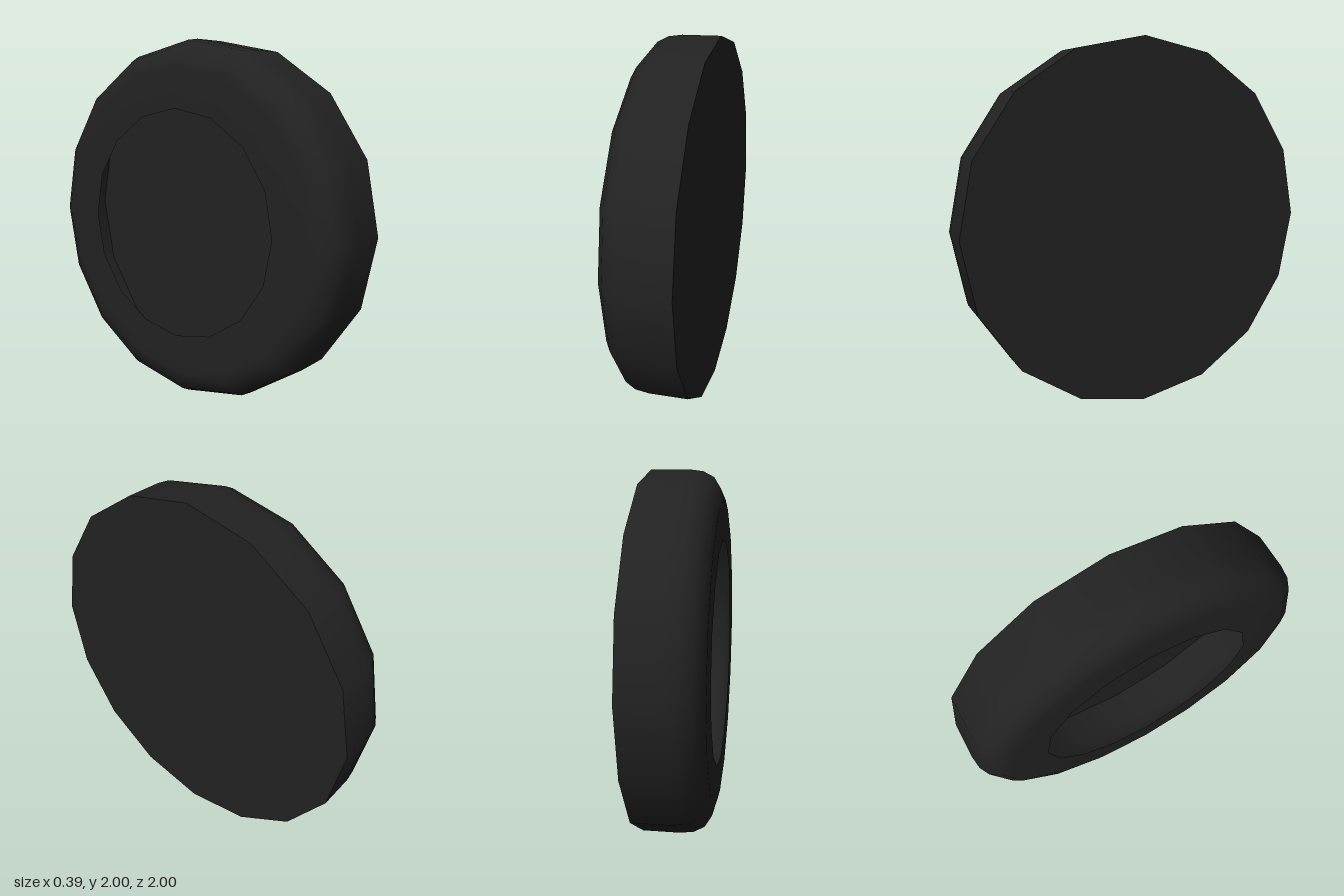
import * as THREE from 'three';

const SIDES = 16;
const HALF_WIDTH = 0.195;

export function createModel() {
  const group = new THREE.Group();
  group.name = 'wheel';

  const rubber = new THREE.MeshStandardMaterial({ color: 0x222222, side: THREE.DoubleSide });
  rubber.name = 'black rubber';

  // Hollow tyre shell: side wall from the open hub, rounded shoulder, flat tread
  const profile = [
    [0.63, -HALF_WIDTH], [0.84, -HALF_WIDTH], [0.9, -0.18], [0.96, -0.143],
    [0.99, -0.085], [1, -0.01], [1, HALF_WIDTH],
  ].map(([r, x]) => new THREE.Vector2(r, x));
  const shell = new THREE.LatheGeometry(profile, SIDES);
  shell.rotateZ(-Math.PI / 2);
  const tyre = new THREE.Mesh(shell, rubber);
  tyre.name = 'tyreShell';

  // Flat disc closing the other side, also seen through the hub opening
  const disc = new THREE.CircleGeometry(1, SIDES);
  disc.rotateY(Math.PI / 2);
  const cap = new THREE.Mesh(disc, rubber);
  cap.name = 'flatSide';
  cap.position.x = HALF_WIDTH;

  group.add(tyre, cap);
  group.children.forEach((part) => { part.position.y = 1; });
  return group;
}
